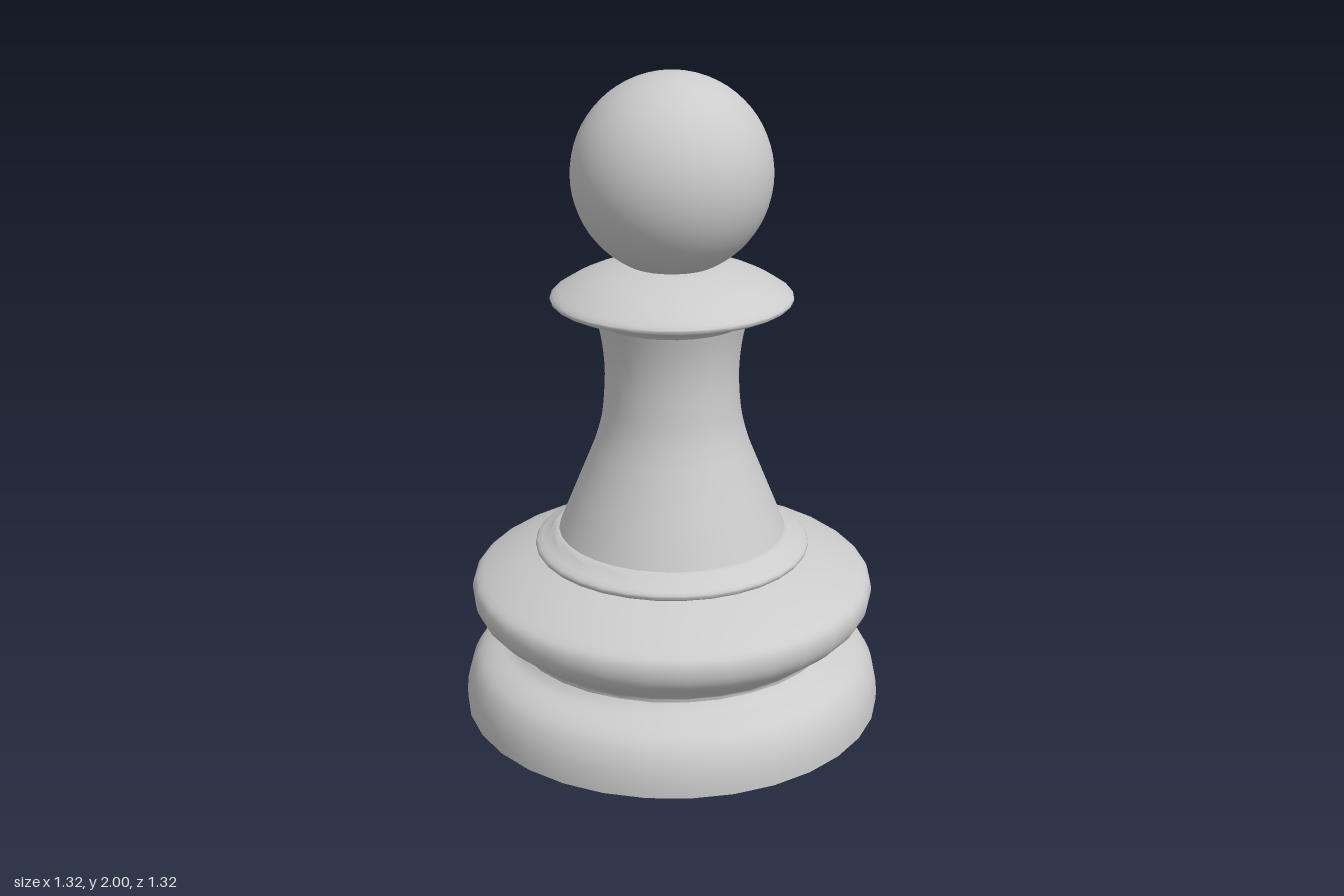
import * as THREE from 'three';
import { toCreasedNormals } from 'three/addons/utils/BufferGeometryUtils.js';

const SIDES = 32;
const material = new THREE.MeshStandardMaterial({ color: 0xcccccc });
const vectors = (points) => points.map(([r, y]) => new THREE.Vector2(r, y));

// Smooth profile through a few [radius, height] points
const curve = (points, steps) => new THREE.SplineCurve(vectors(points)).getPoints(steps);

// Turned part: profile runs from bottom to top
function turned(name, profile) {
  const geometry = toCreasedNormals(new THREE.LatheGeometry(profile, SIDES), 0.75);
  const mesh = new THREE.Mesh(geometry, material);
  mesh.name = name;
  return mesh;
}

export function createModel() {
  const group = new THREE.Group();
  group.name = 'pawn';

  // Rounded foot with a flat closed underside
  group.add(turned('foot', [
    ...vectors([[0, 0], [0.66, 0]]),
    ...curve([[0.66, 0.03], [0.652, 0.09], [0.625, 0.15], [0.58, 0.185], [0.53, 0.208], [0.508, 0.23]], 14),
  ]));

  // Bulging ring above the waist, with a sloping shoulder
  group.add(turned('baseRing', [
    ...curve([[0.508, 0.23], [0.515, 0.247], [0.57, 0.29], [0.615, 0.335], [0.63, 0.38], [0.623, 0.42], [0.595, 0.443]], 18),
    ...vectors([[0.5, 0.488], [0.41, 0.517]]),
  ]));

  // Thin collar at the foot of the stem
  group.add(turned('lowerCollar', [
    ...vectors([[0.41, 0.515]]),
    ...curve([[0.422, 0.519], [0.429, 0.53], [0.422, 0.543], [0.39, 0.56], [0.37, 0.578]], 8),
    ...vectors([[0.35, 0.58]]),
  ]));

  // Tapering, waisted stem
  group.add(turned('stem', [
    ...vectors([[0.355, 0.578], [0.295, 0.725]]),
    ...curve([[0.24, 0.86], [0.22, 0.93], [0.21, 1.0], [0.205, 1.1], [0.213, 1.19], [0.228, 1.26]], 14),
  ]));

  // Wide upper collar with a domed top
  group.add(turned('upperCollar', [
    ...curve([[0.228, 1.26], [0.25, 1.278], [0.31, 1.298], [0.355, 1.314], [0.367, 1.327], [0.355, 1.343], [0.29, 1.382], [0.22, 1.41], [0.14, 1.43]], 20),
    ...vectors([[0, 1.43]]),
  ]));

  // Ball head
  const head = new THREE.Mesh(new THREE.SphereGeometry(0.3, 48, 32), material);
  head.name = 'head';
  head.position.y = 1.7;
  group.add(head);

  return group;
}
